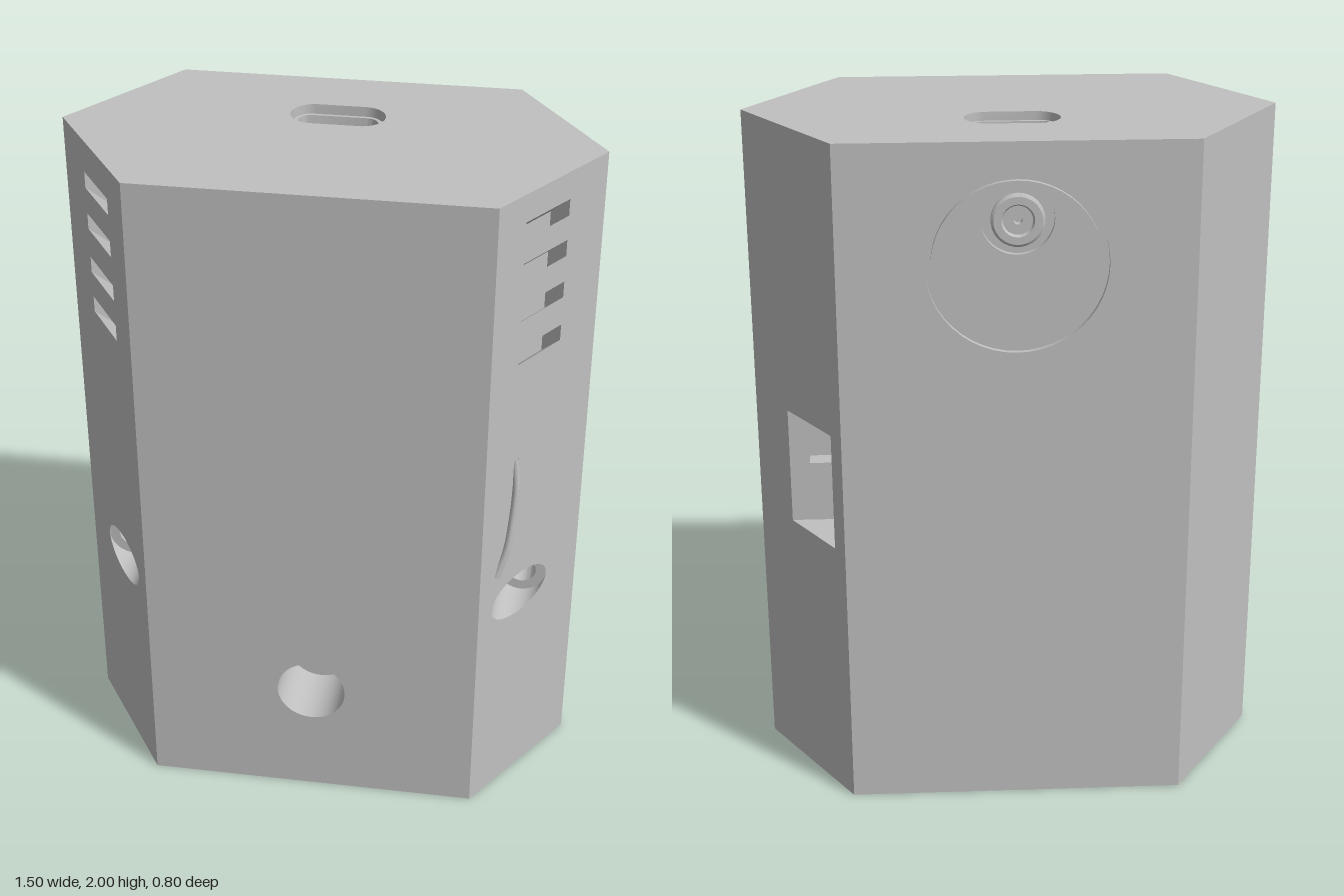
import * as THREE from 'three';
import { toCreasedNormals } from 'three/addons/utils/BufferGeometryUtils.js';

const H = 2;
// Plan corners (x, z), walked so every side face looks outwards
const PLAN = [[-0.49, 0.4], [0.49, 0.4], [0.75, 0.01], [0.49, -0.38], [-0.49, -0.38], [-0.75, 0.01]];
const V3 = (x, y, z) => new THREE.Vector3(x, y, z);

// Counter-clockwise outlines
function ellipse(cx, cy, rx, ry = rx, n = 40) {
  return Array.from({ length: n }, (_, i) => {
    const a = (i / n) * Math.PI * 2;
    return new THREE.Vector2(cx + rx * Math.cos(a), cy + ry * Math.sin(a));
  });
}
function rect(x0, y0, x1, y1) {
  return [[x0, y0], [x1, y0], [x1, y1], [x0, y1]].map(p => new THREE.Vector2(...p));
}
function stadium(cx, cy, hw, hh, n = 40) {
  return ellipse(0, 0, hh, hh, n).map((p, i) => {
    const right = i <= n / 4 || i > (3 * n) / 4;
    return new THREE.Vector2(cx + p.x + (right ? 1 : -1) * (hw - hh), cy + p.y);
  });
}

export function createModel() {
  const group = new THREE.Group();
  const grey = new THREE.MeshStandardMaterial({ color: 0xc0c0c0, side: THREE.DoubleSide });
  grey.name = 'casing grey';

  function add(name, geometry) {
    const mesh = new THREE.Mesh(geometry, grey);
    mesh.name = name;
    group.add(mesh);
    return mesh;
  }

  // Surface through successive matching loops, closed by a fan on the last
  function loft(name, ...loops) {
    const pos = [];
    const tri = (...pts) => pts.forEach(p => pos.push(p.x, p.y, p.z));
    const n = loops[0].length;
    for (let k = 0; k + 1 < loops.length; k++) {
      const A = loops[k], B = loops[k + 1];
      for (let i = 0; i < n; i++) {
        const j = (i + 1) % n;
        tri(A[i], A[j], B[j]);
        tri(A[i], B[j], B[i]);
      }
    }
    const last = loops[loops.length - 1];
    for (let i = 1; i + 1 < n; i++) tri(last[0], last[i], last[i + 1]);
    const g = new THREE.BufferGeometry();
    g.setAttribute('position', new THREE.Float32BufferAttribute(pos, 3));
    return add(name, toCreasedNormals(g, 0.5));
  }

  // Flat face in its own frame; returns a mapper from outline to space
  function face(name, origin, U, V, outline, holes) {
    const N = U.clone().cross(V);
    const shape = new THREE.Shape(outline);
    holes.forEach(h => shape.holes.push(new THREE.Path(h)));
    const g = new THREE.ShapeGeometry(shape);
    g.applyMatrix4(new THREE.Matrix4().makeBasis(U, V, N).setPosition(origin));
    add(name, g);
    return (loop, depth = 0, drop = 0) => loop.map(p => origin.clone()
      .addScaledVector(U, p.x).addScaledVector(V, p.y - drop).addScaledVector(N, -depth));
  }

  function side(name, i, holes = []) {
    const [a, b] = [PLAN[i], PLAN[(i + 1) % 6]];
    const U = V3(b[0] - a[0], 0, b[1] - a[1]);
    const L = U.length();
    return face(name, V3(a[0], 0, a[1]), U.normalize(), V3(0, 1, 0), rect(0, 0, L, H), holes);
  }

  // Front face with its round blind hole
  const frontHole = ellipse(0.49, 0.365, 0.102);
  const front = side('frontPanel', 0, [frontHole]);
  loft('frontHole', front(frontHole), front(frontHole, 0.2));

  // Slanted front panels: four downward vents and a stepped screw hole each
  const L = Math.hypot(0.26, 0.39);
  for (const s of [1, -1]) {
    const label = s > 0 ? 'left' : 'right';
    const u = t => (s > 0 ? t * L : L - t * L);
    const ys = s > 0 ? [1.895, 1.775, 1.65, 1.517] : [1.88, 1.755, 1.62, 1.495];
    const [u0, u1] = [u(0.25), u(0.65)].sort((p, q) => p - q);
    const vents = ys.map(y => rect(u0, y - 0.024, u1, y + 0.024));
    const screw = ellipse(u(0.405), 0.69, (0.072 / 0.26) * L, 0.072);
    const map = side(label + 'FrontPanel', s > 0 ? 1 : 5, [...vents, screw]);
    vents.forEach(v => loft(label + 'Vent', map(v), map(v, 0.06, 0.055)));
    const ring = (r, z) => map(screw).map(p =>
      V3(s * 0.595 + (p.x - s * 0.595) * r, 0.69 + (p.y - 0.69) * r, z));
    loft(label + 'ScrewHole', map(screw), ring(1, 0.13), ring(0.58, 0.13), ring(0.58, 0.03));
  }

  // Slim bowed rib on the left front panel
  const ribPath = new THREE.CatmullRomCurve3([
    V3(0.562, 1.18, 0.283), V3(0.57, 1.09, 0.29), V3(0.566, 0.99, 0.302),
    V3(0.555, 0.89, 0.318), V3(0.53, 0.805, 0.335),
  ]);
  add('curvedRib', new THREE.TubeGeometry(ribPath, 24, 0.011, 10));

  // Left back panel with a wedge-shaped side port and its tab
  const port = rect((0.15 / 0.39) * L, 0.805, (0.345 / 0.39) * L, 1.155);
  const leftBack = side('leftBackPanel', 2, [port]);
  const mouth = leftBack(port);
  loft('sidePort', mouth, mouth.map(p => V3(0.52, p.y, p.z)));
  add('portTab', new THREE.BoxGeometry(0.07, 0.032, 0.055)).position.set(0.555, 0.996, -0.1675);
  side('rightBackPanel', 4);

  // Back face: round groove, then an off-centre dial standing in a shallow ring
  const disc = r => ellipse(0.49, 1.66, r, r, 48);
  const dial = r => ellipse(0.49, 1.79, r, r, 48);
  const back = side('backPanel', 3, [disc(0.25)]);
  loft('backGrooveAndDial',
    back(disc(0.25)), back(disc(0.25), 0.015), back(disc(0.234), 0.015), back(disc(0.234)),
    back(dial(0.1)), back(dial(0.1), 0.015), back(dial(0.062), 0.015), back(dial(0.062), -0.002),
    back(dial(0.073), -0.006), back(dial(0.073), -0.017), back(dial(0.066), -0.022),
    back(dial(0.045), -0.022), back(dial(0.04), -0.014), back(dial(0.012), -0.014),
    back(dial(0.012), 0.01));

  // Top face with the stepped charging socket
  const hex = f => PLAN.map(([x, z]) => new THREE.Vector2(x, f * z));
  const socket = (hw, hh) => stadium(0, 0.12, hw, hh);
  const top = face('topPanel', V3(0, H, 0), V3(1, 0, 0), V3(0, 0, -1), hex(-1), [socket(0.133, 0.067)]);
  loft('chargingSocket',
    top(socket(0.133, 0.067)), top(socket(0.133, 0.067), 0.03), top(socket(0.122, 0.046), 0.03),
    top(socket(0.122, 0.046), 0.02), top(socket(0.112, 0.036), 0.02), top(socket(0.112, 0.036), 0.16));
  add('socketTongue', new THREE.BoxGeometry(0.17, 0.12, 0.022)).position.set(0, H - 0.1, -0.12);

  face('bottomPanel', V3(0, 0, 0), V3(1, 0, 0), V3(0, 0, 1), hex(1), []);
  return group;
}
